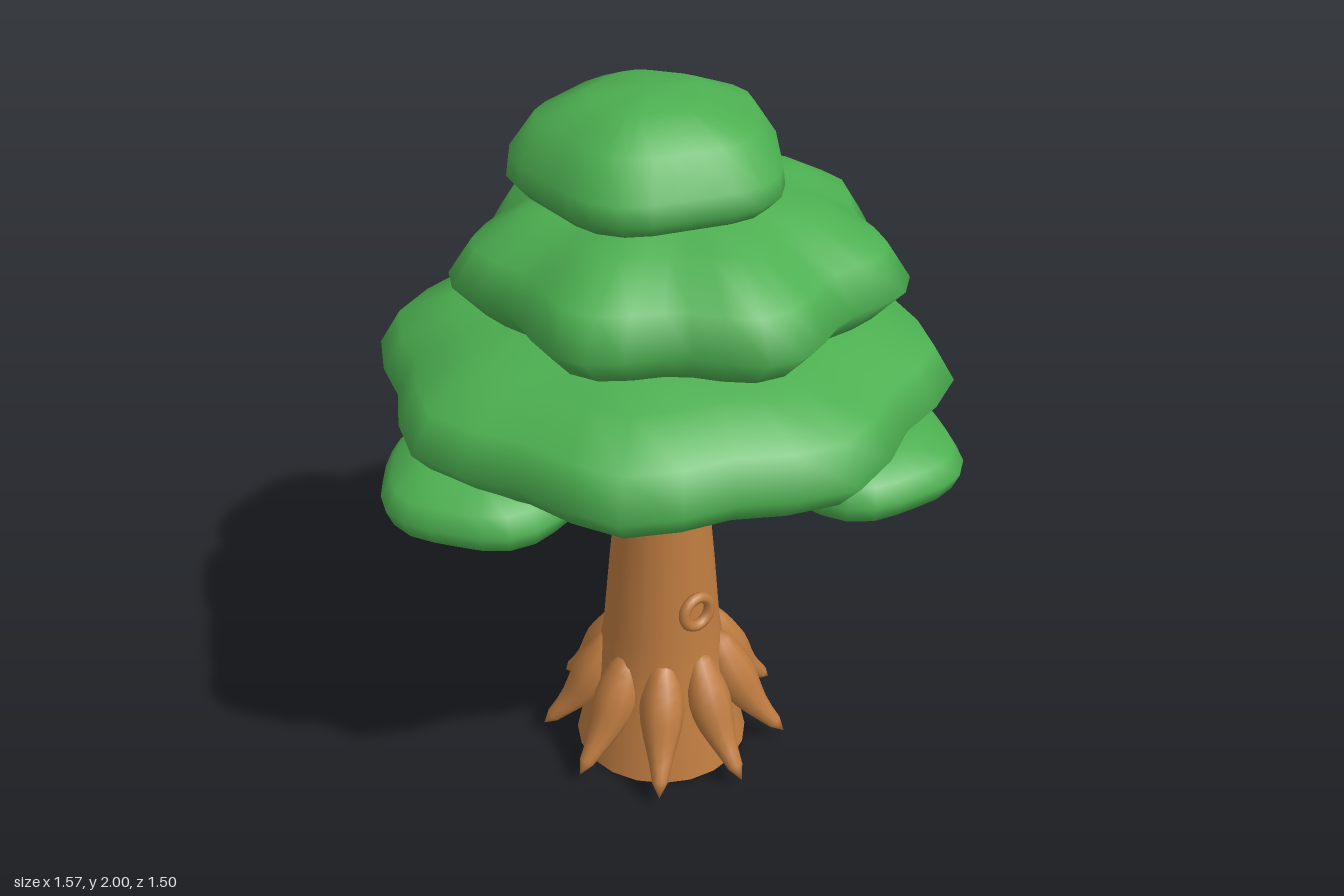
import * as THREE from 'three';
import { mergeVertices } from 'three/addons/utils/BufferGeometryUtils.js';

const bark = new THREE.MeshStandardMaterial({ color: 0xbd7b40, side: THREE.DoubleSide });
bark.name = 'bark brown';
const leaf = new THREE.MeshStandardMaterial({ color: 0x4caf50 });
leaf.name = 'leaf green';

// Weld seams and give smooth normals
function smooth(geo) {
  geo.deleteAttribute('uv');
  geo.deleteAttribute('normal');
  const g = mergeVertices(geo, 1e-4);
  g.computeVertexNormals();
  return g;
}

function part(name, geo, mat, x = 0, y = 0, z = 0) {
  const m = new THREE.Mesh(geo, mat);
  m.name = name;
  m.position.set(x, y, z);
  return m;
}

const lathe = (profile, segments) =>
  new THREE.LatheGeometry(profile.map(([r, y]) => new THREE.Vector2(r, y)), segments);

// Lathed foliage with a wavy, lobed outline
function foliage(profile, lobes, depth, segments) {
  const geo = lathe(profile, segments);
  const p = geo.attributes.position;
  for (let i = 0; i < p.count; i++) {
    const x = p.getX(i), z = p.getZ(i);
    const s = 1 - depth * (0.5 - 0.5 * Math.cos(lobes * Math.atan2(z, x)));
    p.setX(i, x * s);
    p.setZ(i, z * s);
  }
  return smooth(geo);
}

// Tapered limb: tube along a curve, each ring scaled to its own radius
function limb(points, radii, sides = 10) {
  const curve = new THREE.CatmullRomCurve3(points.map(([x, y]) => new THREE.Vector3(x, y, 0)));
  const n = radii.length - 1;
  const geo = new THREE.TubeGeometry(curve, n, 1, sides, false);
  const p = geo.attributes.position;
  const v = new THREE.Vector3();
  for (let i = 0; i <= n; i++) {
    const c = curve.getPointAt(i / n);
    for (let j = 0; j <= sides; j++) {
      const k = i * (sides + 1) + j;
      v.fromBufferAttribute(p, k).sub(c).multiplyScalar(radii[i]).add(c);
      p.setXYZ(k, v.x, v.y, v.z);
    }
  }
  return smooth(geo);
}

export function createModel() {
  const tree = new THREE.Group();
  tree.name = 'tree';
  const cx = 0.04;

  // Flared trunk, open underneath
  const trunk = lathe([[0.25, 0], [0.215, 0.15], [0.185, 0.3], [0.165, 0.42],
    [0.147, 0.63], [0.126, 0.85], [0.11, 1.08], [0.08, 1.13], [0, 1.15]], 20);
  tree.add(part('trunk', smooth(trunk), bark, cx));

  // Nine roots around the base
  const rootGeo = limb([[0.14, 0.39], [0.19, 0.26], [0.255, 0.15], [0.36, 0.04]],
    [0, 0.035, 0.05, 0.06, 0.064, 0.06, 0.051, 0.04, 0.03, 0.022, 0]);
  for (let i = 0; i < 9; i++) {
    const root = part('root', rootGeo, bark, cx + 0.012);
    root.rotation.y = -Math.PI / 2 + i * Math.PI * 2 / 9;
    tree.add(root);
  }

  // Five branches reaching into the canopy
  const branchGeo = limb([[0.07, 0.85], [0.18, 0.99], [0.29, 1.14]],
    [0, 0.045, 0.052, 0.05, 0.047, 0.043, 0.04, 0.036, 0.033, 0.028, 0]);
  for (let i = 0; i < 5; i++) {
    const branch = part('branch', branchGeo, bark, cx - 0.005);
    branch.rotation.y = THREE.MathUtils.degToRad(-90 - 29 + i * 72);
    tree.add(branch);
  }

  // Ring-shaped knot on the front of the trunk
  const knot = part('knot', new THREE.TorusGeometry(0.044, 0.016, 8, 20), bark, 0.035, 0.535, 0.165);
  knot.rotation.x = -0.08;
  tree.add(knot);

  // Three stacked canopy tiers
  tree.add(part('lowerCanopy', foliage([[0, 1.075], [0.28, 1.085], [0.5, 1.12], [0.68, 1.18],
    [0.748, 1.26], [0.69, 1.355], [0.54, 1.42], [0.38, 1.455], [0, 1.48]], 8, 0.085, 32),
  leaf, 0.037));
  tree.add(part('middleCanopy', foliage([[0, 1.41], [0.36, 1.435], [0.5, 1.465], [0.578, 1.55],
    [0.515, 1.64], [0.37, 1.72], [0.2, 1.757], [0, 1.77]], 7, 0.13, 42),
  leaf, 0.072, 0, 0.022));
  tree.add(part('topCanopy', foliage([[0, 1.71], [0.22, 1.725], [0.32, 1.755], [0.352, 1.79],
    [0.345, 1.84], [0.28, 1.93], [0.15, 1.985], [0, 2]], 5, 0.1, 30),
  leaf, 0.02, 0, -0.027));

  // Three low leaf clumps tucked under the canopy
  const clumpGeo = foliage([[0, -0.11], [0.11, -0.103], [0.2, -0.075], [0.262, -0.035],
    [0.28, 0.01], [0.25, 0.055], [0.18, 0.09], [0.09, 0.107], [0, 0.112]], 5, 0.08, 25);
  for (const [x, z, turn] of [[-0.505, 0, Math.PI], [0.3, 0.455, -1.05], [0.325, -0.455, 1.05]]) {
    const clump = part('leafClump', clumpGeo, leaf, x, 1.11, z);
    clump.rotation.y = turn;
    tree.add(clump);
  }
  return tree;
}
